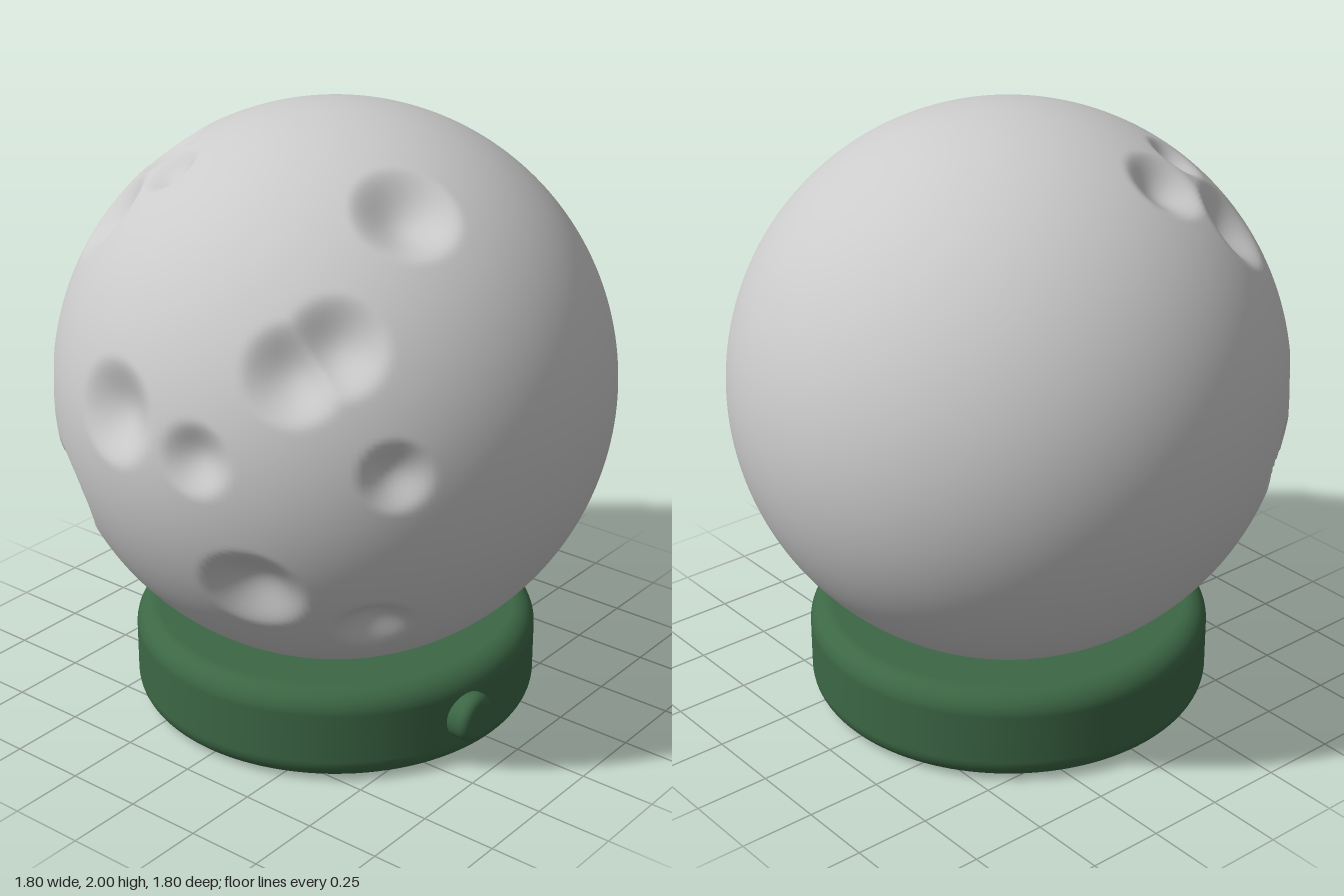
import * as THREE from 'three';
import { mergeVertices } from 'three/addons/utils/BufferGeometryUtils.js';

const CENTRE_Y = 1.1, RADIUS = 0.9;

// Craters: direction from the globe centre (x, y, z) and rim radius
const CRATERS = [
  [-0.13, 0.14, 0.88, 0.17],
  [0.185, 0.075, 0.88, 0.122],
  [0.42, 0.35, 0.715, 0.16],
  [0.5, 0.42, 0.62, 0.16],
  [0.685, 0.06, 0.58, 0.118],
  [0.3, -0.36, 0.768, 0.175],
  [0.55, -0.5, 0.5, 0.14],
  [0.47, 0.72, 0.26, 0.175],
  [-0.47, 0.735, 0.22, 0.145],
  [-0.52, 0.565, 0.465, 0.17],
  [-0.31, 0.74, 0.41, 0.105],
  [-0.57, -0.34, 0.61, 0.165],
  [-0.485, -0.26, 0.71, 0.155],
  [-0.65, 0.02, 0.62, 0.1],
  [-0.73, -0.165, 0.5, 0.13],
].map(([x, y, z, r]) => ({ dir: new THREE.Vector3(x, y, z).normalize(), r }));

// Depth of the deepest crater at a point on the unit sphere
function craterDepth(dir) {
  let depth = 0;
  for (const c of CRATERS) {
    const t = dir.angleTo(c.dir) * RADIUS / c.r;
    if (t < 1) depth = Math.max(depth, 0.4 * c.r * (1 - t * t) ** 1.7);
  }
  return depth;
}

// Sphere pushed inwards at the craters
function globeGeometry() {
  let geo = new THREE.SphereGeometry(1, 288, 200);
  geo.deleteAttribute('uv');
  geo.deleteAttribute('normal');
  geo = mergeVertices(geo, 1e-5);
  const pos = geo.attributes.position, v = new THREE.Vector3();
  for (let i = 0; i < pos.count; i++) {
    v.fromBufferAttribute(pos, i).normalize();
    v.multiplyScalar(RADIUS - craterDepth(v));
    pos.setXYZ(i, v.x, v.y, v.z);
  }
  geo.computeVertexNormals();
  return geo;
}

// Turned disc from y = 0 to y = h with rounded edges
function roundedDisc(radius, h, fillet, segments) {
  const pts = [new THREE.Vector2(0, 0)];
  const steps = 12;
  for (const [cy, start] of [[fillet, -Math.PI / 2], [h - fillet, 0]]) {
    for (let i = 0; i <= steps; i++) {
      const a = start + (i / steps) * Math.PI / 2;
      pts.push(new THREE.Vector2(radius - fillet + fillet * Math.cos(a), cy + fillet * Math.sin(a)));
    }
  }
  pts.push(new THREE.Vector2(0, h));
  return new THREE.LatheGeometry(pts, segments);
}

export function createModel() {
  const group = new THREE.Group();
  const grey = new THREE.MeshStandardMaterial({ color: 0xcccccc });
  const green = new THREE.MeshStandardMaterial({ color: 0x3c6745 });
  const add = (name, geo, mat, x, y, z) => {
    const mesh = new THREE.Mesh(geo, mat);
    mesh.name = name;
    mesh.position.set(x, y, z);
    group.add(mesh);
    return mesh;
  };

  add('crateredGlobe', globeGeometry(), grey, 0, CENTRE_Y, 0);
  add('base', roundedDisc(0.665, 0.315, 0.075, 128), green, 0, 0, 0);

  // Push button on the side of the base
  const button = add('button', roundedDisc(0.08, 0.1, 0.03, 48), green, 0.6, 0.16, 0.143);
  button.rotation.z = -Math.PI / 2;

  return group;
}
